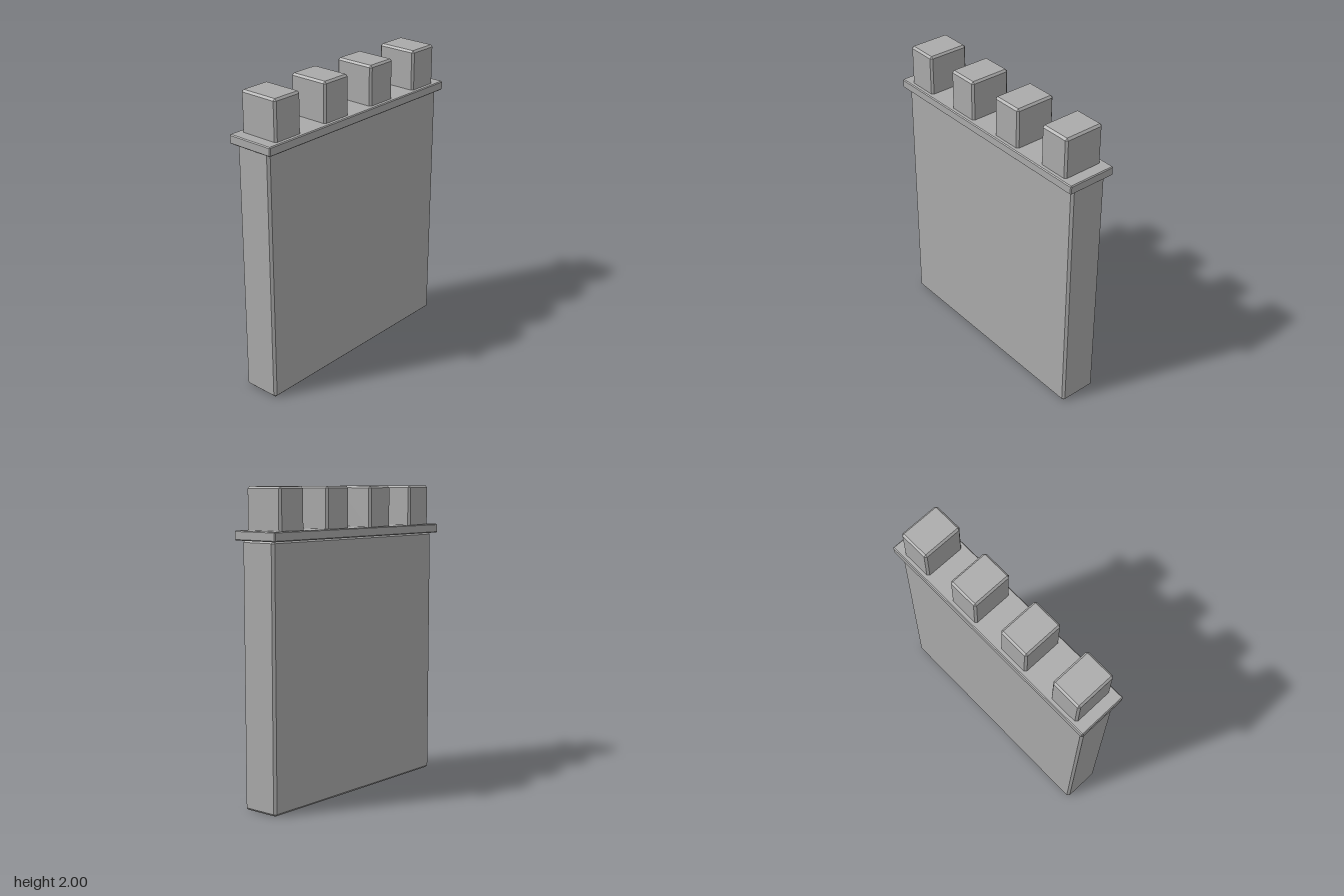
import * as THREE from 'three';
import { ConvexGeometry } from 'three/addons/geometries/ConvexGeometry.js';

// Box with every edge cut by a flat chamfer c, standing on y = 0
function chamferedBox(w, h, d, c) {
  const points = [];
  for (const sx of [-1, 1]) for (const sy of [-1, 1]) for (const sz of [-1, 1]) {
    const x = w / 2, y = h / 2, z = d / 2;
    points.push(
      new THREE.Vector3(sx * x, sy * (y - c), sz * (z - c)),
      new THREE.Vector3(sx * (x - c), sy * y, sz * (z - c)),
      new THREE.Vector3(sx * (x - c), sy * (y - c), sz * z)
    );
  }
  return new ConvexGeometry(points).translate(0, h / 2, 0);
}

export function createModel() {
  const model = new THREE.Group();
  model.name = 'battlementWall';
  const stone = new THREE.MeshStandardMaterial({ color: 0xaaaaaa });
  stone.name = 'stone grey';

  const add = (name, geometry, x, y) => {
    const mesh = new THREE.Mesh(geometry, stone);
    mesh.name = name;
    mesh.position.set(x, y, 0);
    model.add(mesh);
  };

  // Wall slab and the overhanging ledge on top of it
  add('wall', chamferedBox(1.594, 1.68, 0.26, 0.015), 0, 0);
  add('ledge', chamferedBox(1.644, 0.06, 0.334, 0.006), 0, 1.676);

  // Four merlons, their lower chamfers sunk into the ledge
  const merlon = chamferedBox(0.215, 0.285, 0.28, 0.013);
  for (let i = 0; i < 4; i++) add('merlon' + (i + 1), merlon, (i - 1.5) * 0.424, 1.715);

  return model;
}
